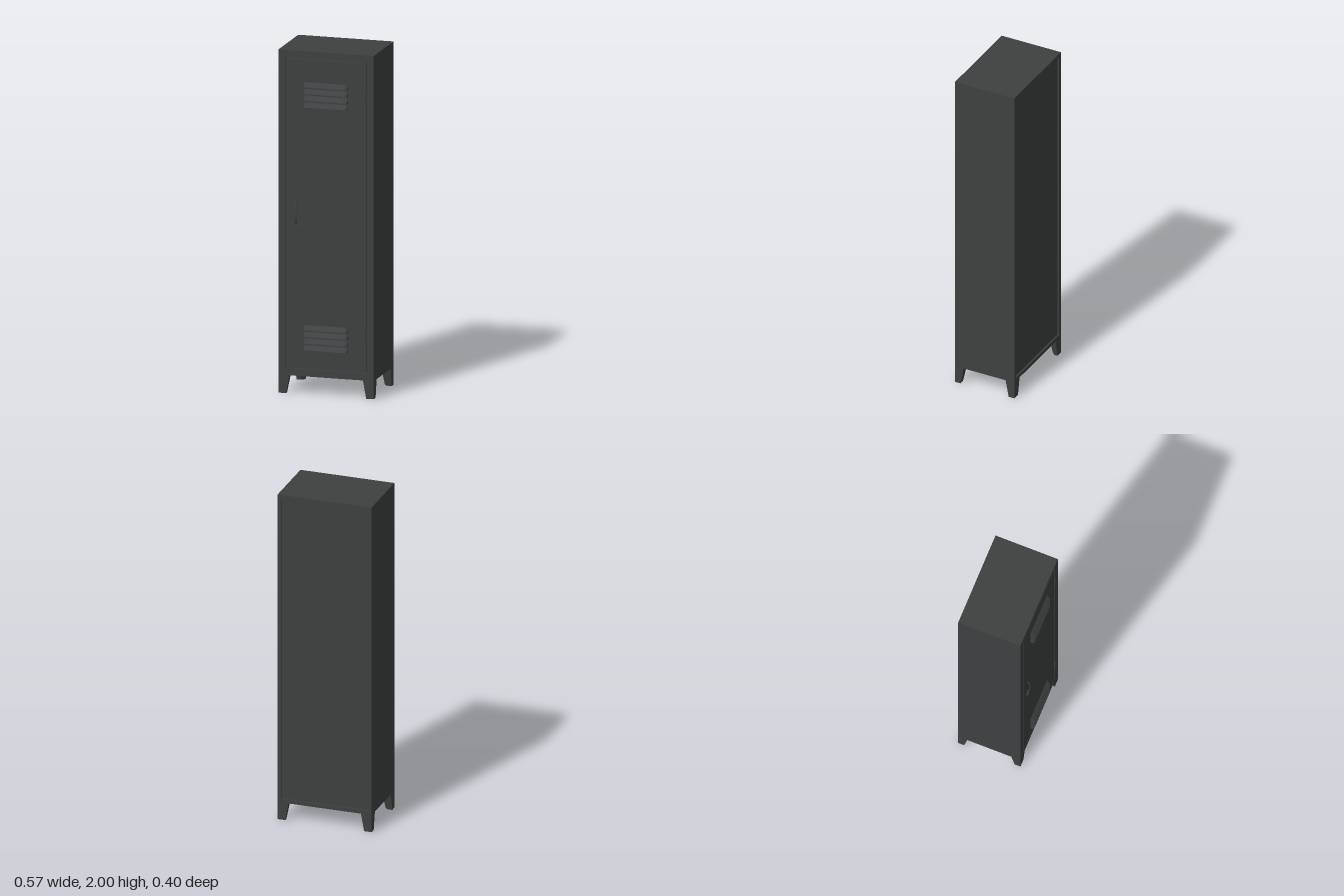
import * as THREE from 'three';
import { ConvexGeometry } from 'three/addons/geometries/ConvexGeometry.js';

const steel = new THREE.MeshStandardMaterial({ color: 0x3c4241 });
steel.name = 'anthracite steel';

const W = 0.283, BOTTOM = 0.105, TOP = 2, BACK = -0.203, FRONT = 0.178;

function add(parent, name, geometry, x = 0, y = 0, z = 0) {
  const mesh = new THREE.Mesh(geometry, steel);
  mesh.name = name;
  mesh.position.set(x, y, z);
  parent.add(mesh);
  return mesh;
}

// Rectangular frame around the cabinet outline with a rectangular opening
function frame(x, y0, y1, depth) {
  const rect = (s, hx, a, b) => s.moveTo(-hx, a).lineTo(hx, a).lineTo(hx, b).lineTo(-hx, b).closePath();
  const shape = rect(new THREE.Shape(), W, BOTTOM, TOP);
  shape.holes.push(rect(new THREE.Path(), x, y0, y1));
  return new THREE.ExtrudeGeometry(shape, { depth, bevelEnabled: false });
}

const hull = pts => new ConvexGeometry(pts.map(p => new THREE.Vector3(...p)));

// Pressed vent slat: slopes from the door out to a lip at its lower edge
function slatGeometry() {
  const pts = [];
  for (const s of [-1, 1]) {
    pts.push([s * 0.133, -0.03, 0], [s * 0.131, -0.009, 0], [s * 0.122, 0, 0],
      [s * 0.129, -0.03, 0.012], [s * 0.124, -0.03, 0.019], [s * 0.114, -0.03, 0.022],
      [s * 0.114, -0.026, 0.022]);
  }
  return hull(pts);
}

// Tapered foot with vertical outer faces and a chamfered inner corner
function footGeometry(sx, sz) {
  const pts = [];
  for (const [y, w, d, c] of [[0, 0.045, 0.036, 0.016], [BOTTOM, 0.064, 0.056, 0.024]]) {
    const x = sx * W, z = sz > 0 ? FRONT : BACK;
    for (const [u, v] of [[0, 0], [w, 0], [w, d - c], [w - c, d], [0, d]]) {
      pts.push([x - sx * u, y, z - sz * v]);
    }
  }
  return hull(pts);
}

// Bowed pull, widest at the middle
function handleGeometry() {
  const path = new THREE.CatmullRomCurve3([
    [-0.070, -0.004], [-0.066, 0.008], [-0.045, 0.014], [0, 0.0175],
    [0.045, 0.014], [0.066, 0.008], [0.070, -0.004],
  ].map(([y, z]) => new THREE.Vector3(0, y, z)));
  const g = new THREE.TubeGeometry(path, 32, 0.004, 10);
  const p = g.attributes.position;
  for (let i = 0; i < p.count; i++) {
    p.setX(i, p.getX(i) * (0.9 + 1.0 * Math.cos(p.getY(i) / 0.075 * Math.PI / 2)));
  }
  g.computeVertexNormals();
  return g;
}

export function createModel() {
  const locker = new THREE.Group();
  locker.name = 'locker';

  // Cabinet: core box with a door frame in front and a rim behind
  const cabinet = new THREE.Group();
  cabinet.name = 'cabinet';
  locker.add(cabinet);
  const z0 = BACK + 0.01, z1 = FRONT - 0.012;
  add(cabinet, 'body', new THREE.BoxGeometry(2 * W, TOP - BOTTOM, z1 - z0), 0, (TOP + BOTTOM) / 2, (z0 + z1) / 2);
  add(cabinet, 'doorFrame', frame(0.242, 0.147, 1.96, FRONT - z1), 0, 0, z1);
  add(cabinet, 'backRim', frame(W - 0.022, BOTTOM + 0.022, TOP - 0.022, 0.01), 0, 0, BACK);

  // Door, set in its frame with a narrow gap
  const door = new THREE.Group();
  door.name = 'door';
  locker.add(door);
  add(door, 'doorPanel', new THREE.BoxGeometry(0.472, 1.797, 0.012), 0, 1.0545, FRONT - 0.006);

  // Two banks of four vent slats
  const slat = slatGeometry();
  for (const [bank, top] of [['upper', 1.82], ['lower', 0.405]]) {
    for (let i = 0; i < 4; i++) add(door, bank + 'VentSlat', slat, -0.002, top - i * 0.039, FRONT);
  }

  // Handle and lock
  add(door, 'handle', handleGeometry(), -0.177, 1.063, FRONT);
  const lock = add(door, 'lock', new THREE.CylinderGeometry(0.0135, 0.0145, 0.009, 24), -0.178, 0.95, FRONT + 0.0045);
  lock.rotation.x = Math.PI / 2;

  // Hinge barrels
  for (const y of [0.368, 1.742]) {
    add(locker, 'hinge', new THREE.CylinderGeometry(0.006, 0.006, 0.08, 12), 0.234, y, FRONT);
  }

  // Four feet
  for (const sx of [-1, 1]) for (const sz of [-1, 1]) {
    add(locker, (sz > 0 ? 'front' : 'back') + (sx > 0 ? 'Left' : 'Right') + 'Foot', footGeometry(sx, sz));
  }
  return locker;
}
